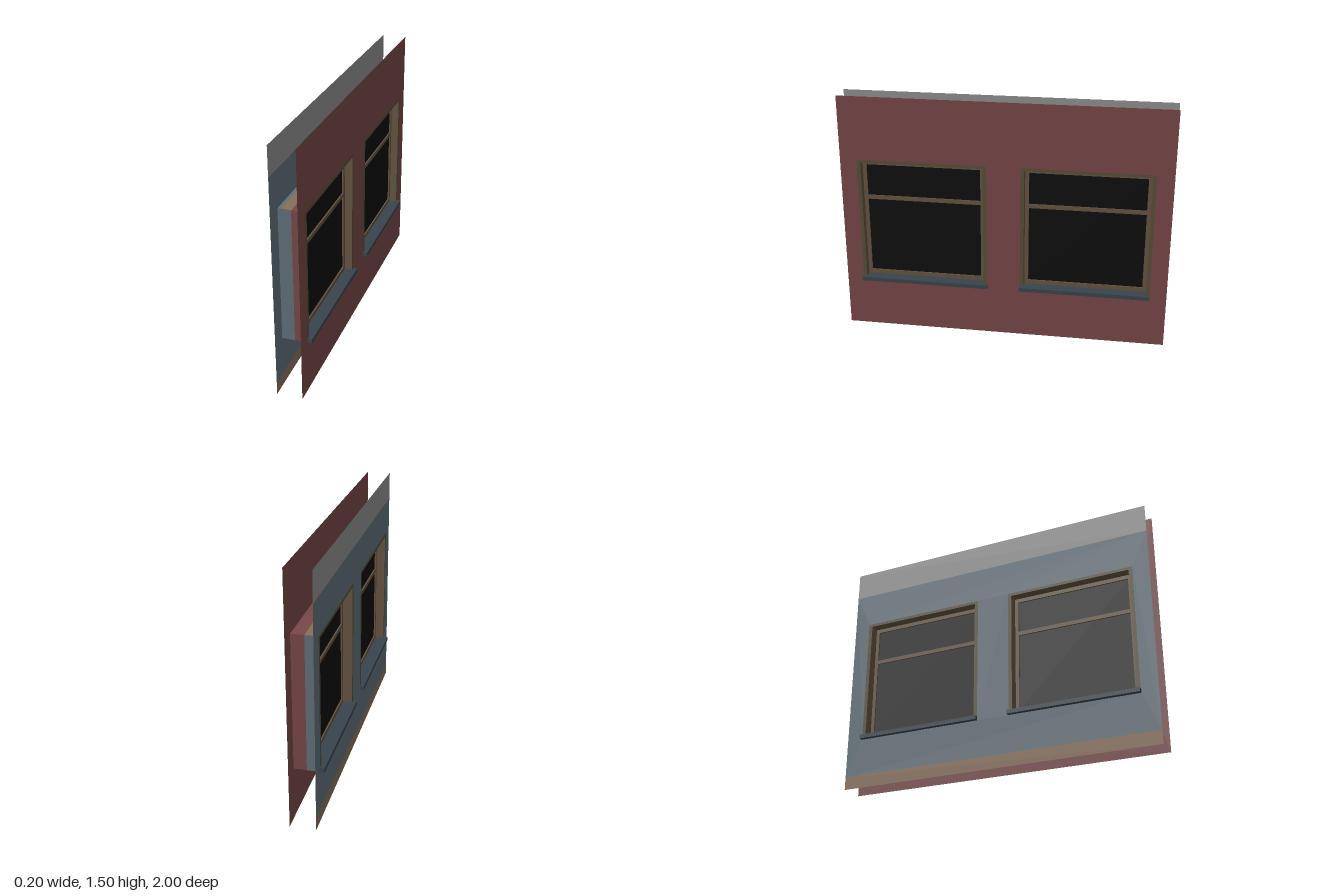
import * as THREE from 'three';

const mat = (name, color, side = THREE.FrontSide) => {
  const m = new THREE.MeshStandardMaterial({ color, side });
  m.name = name;
  return m;
};

export function createModel() {
  const red = mat('red wall', 0x774748, THREE.DoubleSide);
  const blue = mat('blue wall', 0x606f77, THREE.DoubleSide);
  const grey = mat('grey band', 0x8e8e8e, THREE.DoubleSide);
  const tan = mat('tan base', 0x87705a, THREE.DoubleSide);
  const olive = mat('olive trim edge', 0x584e38);
  const brown = mat('brown frame', 0x645440);
  const slate = mat('slate sill', 0x39444d);
  const black = mat('black glass', 0x0e0e0e);

  const model = new THREE.Group();
  const HALF = 0.075;              // half the wall thickness
  const Y0 = 0.31, Y1 = 1.11;      // opening height range
  const W = 0.4;                   // half the opening width
  const centres = [-0.5, 0.5];     // window centres along z

  // box given by its min and max on each axis
  const box = (parent, name, material, x0, x1, y0, y1, z0, z1) => {
    const mesh = new THREE.Mesh(new THREE.BoxGeometry(x1 - x0, y1 - y0, z1 - z0), material);
    mesh.position.set((x0 + x1) / 2, (y0 + y1) / 2, (z0 + z1) / 2);
    mesh.name = name;
    parent.add(mesh);
  };

  const rect = (S, x0, y0, x1, y1) => {
    const s = new S();
    s.moveTo(x0, y0).lineTo(x1, y0).lineTo(x1, y1).lineTo(x0, y1).closePath();
    return s;
  };

  // flat sheet of wall in the plane x = const
  const sheet = (name, material, x, y0, y1, holes) => {
    const s = rect(THREE.Shape, -1, y0, 1, y1);
    if (holes) for (const c of centres) s.holes.push(rect(THREE.Path, c - W, Y0, c + W, Y1));
    const mesh = new THREE.Mesh(new THREE.ShapeGeometry(s).rotateY(Math.sign(x) * Math.PI / 2), material);
    mesh.position.x = x;
    mesh.name = name;
    model.add(mesh);
  };

  sheet('outerWall', red, HALF, 0, 1.5, true);
  sheet('innerWallBase', tan, -HALF, 0, 0.08);
  sheet('innerWall', blue, -HALF, 0.08, 1.325, true);
  sheet('innerWallTopBand', grey, -HALF, 1.325, 1.5);

  // one window, built about z = 0
  const makeWindow = () => {
    const g = new THREE.Group();
    g.name = 'window';
    const T = 0.002;

    // thin casing in the wall cavity, coloured by side
    for (const s of [-1, 1]) {
      const a = s < 0 ? -W : W - T, b = a + T;
      box(g, 'casingSideOuter', red, 0, HALF, Y0, Y1, a, b);
      box(g, 'casingSideInner', blue, -HALF, 0, Y0, Y1, a, b);
    }
    box(g, 'casingTopOuter', red, 0, HALF, Y1 - T, Y1, -W + T, W - T);
    box(g, 'casingTopMiddle', tan, -0.055, 0, Y1 - T, Y1, -W + T, W - T);
    box(g, 'casingTopInner', blue, -HALF, -0.055, Y1 - T, Y1, -W + T, W - T);

    // reveal lining: olive where it meets the wall faces, brown within
    const lining = [olive, olive, brown, brown, brown, brown];
    const R = 0.375, top = 1.09, sillTop = 0.335;
    box(g, 'revealTop', lining, -HALF, HALF, top, Y1 - T, -W + T, W - T);
    box(g, 'revealLeft', lining, -HALF, HALF, sillTop, top, R, W - T);
    box(g, 'revealRight', lining, -HALF, HALF, sillTop, top, -W + T, -R);

    // sash frame
    const sx0 = -0.018, sx1 = 0.028, G = 0.352;
    box(g, 'sashTop', brown, sx0, sx1, 1.065, top, -R, R);
    box(g, 'sashBottom', brown, sx0, sx1, sillTop, 0.36, -R, R);
    box(g, 'sashLeft', brown, sx0, sx1, 0.36, 1.065, G, R);
    box(g, 'sashRight', brown, sx0, sx1, 0.36, 1.065, -R, -G);
    box(g, 'meetingRail', brown, sx0, sx1, 0.84, 0.865, -G, G);
    box(g, 'glass', black, -0.009, 0.019, 0.36, 1.065, -G, G);

    // sill passing through the wall and projecting on both faces
    box(g, 'sill', slate, -0.1, 0.1, Y0, sillTop, -W + T, W - T);
    for (const s of [-1, 1]) {
      const x0 = s < 0 ? -0.1 : HALF;
      box(g, 'sillNose', slate, x0, x0 + 0.025, Y0, sillTop, -W, W);
    }
    return g;
  };

  for (const c of centres) {
    const w = makeWindow();
    w.position.z = c;
    model.add(w);
  }
  return model;
}
